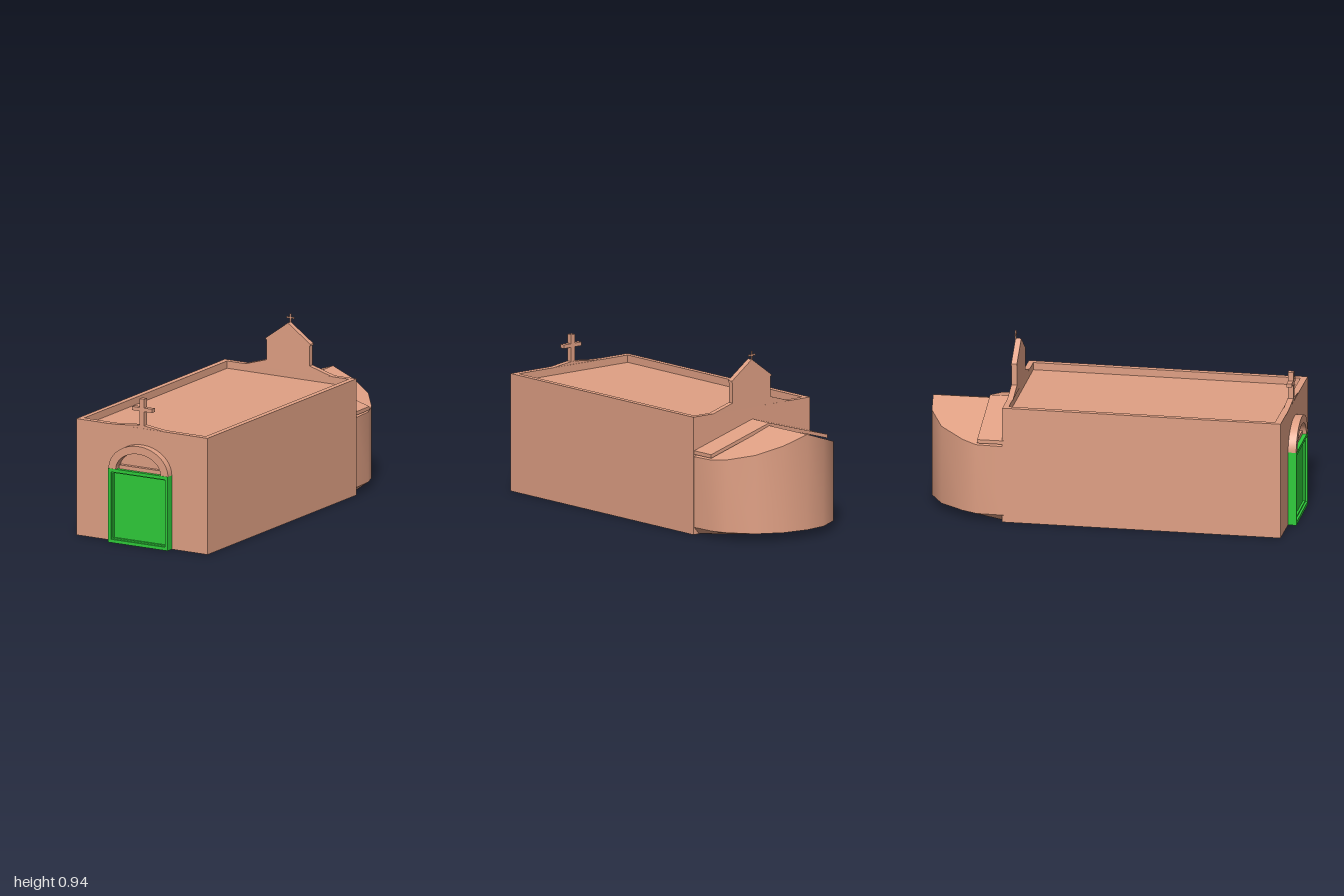
import * as THREE from 'three';
import { toCreasedNormals } from 'three/addons/utils/BufferGeometryUtils.js';

const plaster = new THREE.MeshStandardMaterial({ color: 0xe0a084, side: THREE.DoubleSide });
const green = new THREE.MeshStandardMaterial({ color: 0x2ecc3a });

const toVectors = (pts) => pts.map(([x, y]) => new THREE.Vector2(x, y));

// Upright outline (x, y) given thickness from z0 to z1
function slab(shape, z0, z1) {
  return new THREE.ExtrudeGeometry(shape, { depth: z1 - z0, bevelEnabled: false, curveSegments: 16 }).translate(0, 0, z0);
}

// Plan outline (x, z) raised from y0 to y1, with an optional hole
function raise(plan, y0, y1, hole) {
  const flip = (pts) => toVectors(pts.map(([x, z]) => [x, -z]));
  const shape = new THREE.Shape(flip(plan));
  if (hole) shape.holes.push(new THREE.Path(flip(hole)));
  return new THREE.ExtrudeGeometry(shape, { depth: y1 - y0, bevelEnabled: false })
    .rotateX(-Math.PI / 2).translate(0, y0, 0);
}

function box(x0, x1, y0, y1, z0, z1) {
  return new THREE.BoxGeometry(x1 - x0, y1 - y0, z1 - z0)
    .translate((x0 + x1) / 2, (y0 + y1) / 2, (z0 + z1) / 2);
}

function rectangle(x0, x1, y0, y1) {
  return toVectors([[x0, y0], [x1, y0], [x1, y1], [x0, y1]]);
}

function frame(outer, inner, z0, z1) {
  const shape = new THREE.Shape(rectangle(...outer));
  shape.holes.push(new THREE.Path(rectangle(...inner)));
  return slab(shape, z0, z1);
}

// Rounded apse: walls follow a plan and are cut off by a pitched roof
function apseGeometry() {
  const plan = [[-0.405, -0.55], [-0.4, -0.7], [-0.36, -0.78], [-0.26, -0.91], [-0.125, -0.985], [0.005, -1],
    [0.15, -0.975], [0.285, -0.9], [0.38, -0.775], [0.41, -0.69], [0.415, -0.55]];
  const tip = 5, ridgeX = 0.005;
  const bottom = ([x, z]) => [x, 0.04, z];
  const top = ([x, z]) => [x, 0.56 - 0.33 * Math.abs(x - ridgeX), z];
  const ridge = ([, z]) => [ridgeX, 0.56, z];
  const baseLeft = [-0.37, 0, -0.55], baseRight = [0.38, 0, -0.55];
  const out = [];
  const tri = (a, b, c) => out.push(...a, ...b, ...c);
  for (let i = 0; i < plan.length - 1; i++) {
    const p = plan[i], q = plan[i + 1];
    tri(bottom(p), top(q), bottom(q));
    tri(bottom(p), top(p), top(q));
    if (i !== tip) tri(top(p), ridge(p), ridge(q));
    if (i !== tip - 1) tri(top(p), ridge(q), top(q));
    tri(bottom(p), bottom(q), i < tip ? baseLeft : baseRight);
  }
  tri(baseLeft, bottom(plan[tip]), baseRight);
  const g = new THREE.BufferGeometry();
  g.setAttribute('position', new THREE.Float32BufferAttribute(out, 3));
  return toCreasedNormals(g, 0.55);
}

export function createModel() {
  const model = new THREE.Group();
  const add = (name, geometry, material = plaster) => {
    const mesh = new THREE.Mesh(geometry, material);
    mesh.name = name;
    model.add(mesh);
  };

  // Slightly skewed nave with a sunken flat roof behind a parapet
  const plan = [[-0.422, 0.952], [0.398, 0.96], [0.42, -0.553], [-0.402, -0.557]];
  const inner = [[-0.393, 0.917], [0.367, 0.925], [0.387, -0.523], [-0.37, -0.527]];
  add('nave', raise(plan, 0, 0.6));
  add('parapet', raise(plan, 0.6, 0.64, inner));

  // Front parapet crest and its cross
  add('frontCrest', slab(new THREE.Shape(toVectors([[-0.26, 0.639], [0.13, 0.639], [0, 0.656], [-0.03, 0.656],
    [-0.15, 0.643]])), 0.924, 0.955));
  add('frontCrossPost', box(-0.028, 0, 0.65, 0.802, 0.925, 0.955));
  add('frontCrossArm', box(-0.076, 0.05, 0.733, 0.753, 0.926, 0.954));

  // Rear gable and its small cross
  add('rearGable', slab(new THREE.Shape(toVectors([[-0.26, 0.639], [0.285, 0.639], [0.145, 0.68], [0.145, 0.79],
    [0.149, 0.79], [0.149, 0.8], [0.009, 0.9], [-0.129, 0.8], [-0.129, 0.79], [-0.124, 0.79],
    [-0.124, 0.68]])), -0.555, -0.524));
  add('rearCrossPost', box(0.005, 0.012, 0.895, 0.945, -0.556, -0.55));
  add('rearCrossArm', box(-0.016, 0.032, 0.919, 0.927, -0.556, -0.55));

  // Apse and the raised roof strip joining it to the nave
  add('apse', apseGeometry());
  add('apseRoofStrip', slab(new THREE.Shape(toVectors([[-0.405, 0.437], [0.005, 0.555], [0.415, 0.437],
    [0.415, 0.457], [0.005, 0.575], [-0.405, 0.457]])), -0.692, -0.55));

  // Arch over the door, with a sill at the foot of its opening
  const arch = new THREE.Shape();
  arch.moveTo(0.175, 0.405);
  arch.absellipse(-0.01, 0.405, 0.185, 0.145, 0, Math.PI, false, 0);
  arch.lineTo(-0.15, 0.405);
  arch.absellipse(-0.01, 0.405, 0.14, 0.102, Math.PI, 0, true, 0);
  add('doorArch', toCreasedNormals(slab(arch, 0.95, 0.998), 0.6));
  add('archSill', box(-0.14, 0.12, 0.4, 0.428, 0.95, 0.978));

  // Door: outer frame, stepped inner frame and sunken panel
  add('doorFrame', frame([-0.195, 0.175, 0, 0.407], [-0.178, 0.157, 0.018, 0.389], 0.95, 1), green);
  add('doorInnerFrame', frame([-0.178, 0.157, 0.018, 0.389], [-0.171, 0.15, 0.025, 0.382], 0.95, 0.988), green);
  add('doorPanel', box(-0.172, 0.151, 0.024, 0.383, 0.95, 0.976), green);
  return model;
}
